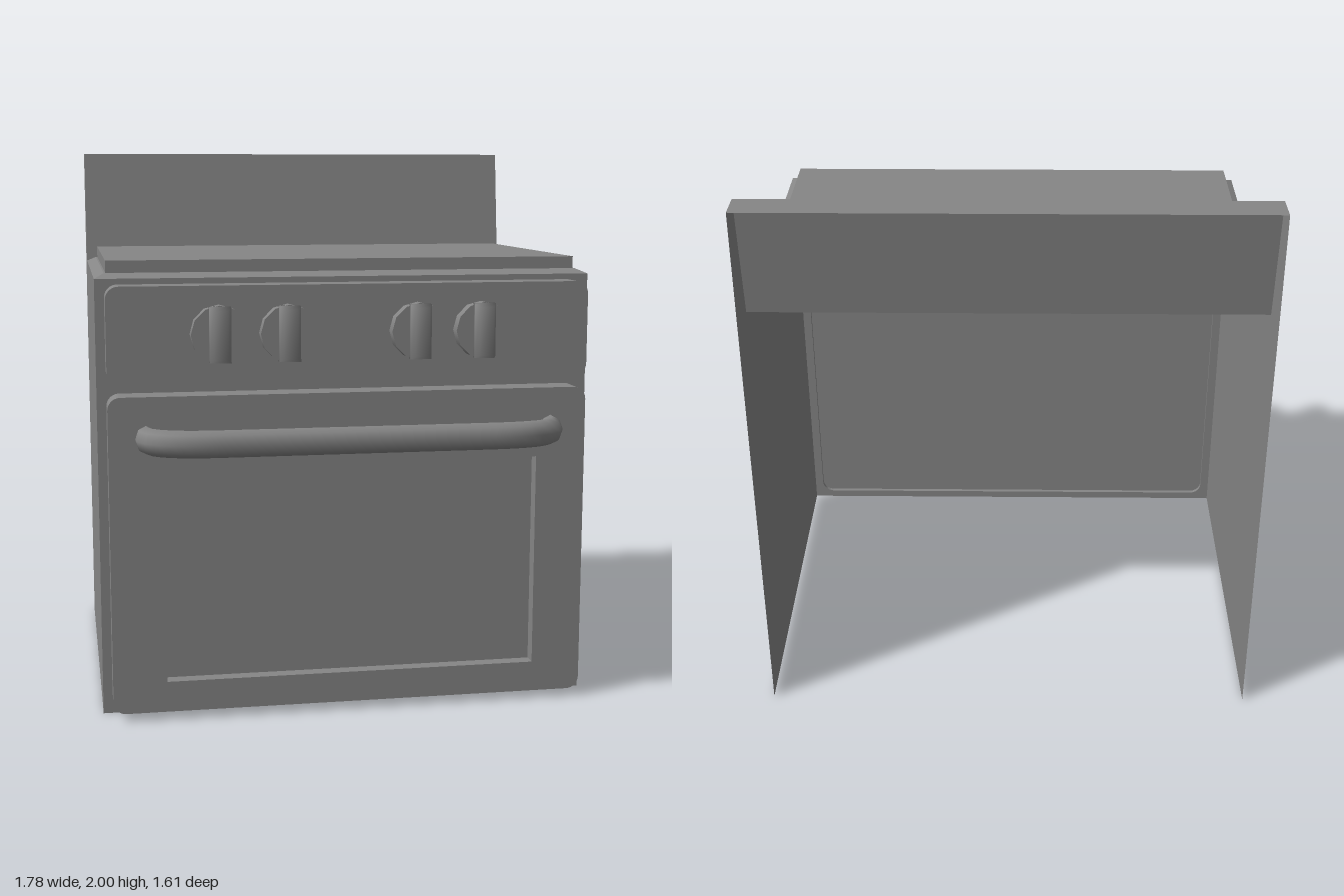
import * as THREE from 'three';
import { mergeVertices } from 'three/addons/utils/BufferGeometryUtils.js';

const HALF_W = 0.888, FRONT = 0.525, BACK = -0.81, DECK = 1.56, DOOR_FRONT = 0.63, DOOR_BACK = 0.54;

const solid = new THREE.MeshStandardMaterial({ color: 0x868686 });
const sheet = new THREE.MeshStandardMaterial({ color: 0x868686, side: THREE.DoubleSide });

function add(parent, name, geometry, material = solid) {
  const mesh = new THREE.Mesh(geometry, material);
  mesh.name = name;
  parent.add(mesh);
}

// Flat-shaded sheet from a list of four-cornered faces
function quadSheet(quads) {
  const pos = [];
  for (const [a, b, c, d] of quads) pos.push(...a, ...b, ...c, ...a, ...c, ...d);
  const g = new THREE.BufferGeometry();
  g.setAttribute('position', new THREE.Float32BufferAttribute(pos, 3));
  g.computeVertexNormals();
  return g;
}

// Rectangle with rounded corners, from (-w, y0) to (w, y1)
function roundedRect(w, y0, y1, r, Type = THREE.Shape) {
  const s = new Type();
  s.absarc(w - r, y0 + r, r, -Math.PI / 2, 0);
  s.absarc(w - r, y1 - r, r, 0, Math.PI / 2);
  s.absarc(-w + r, y1 - r, r, Math.PI / 2, Math.PI);
  s.absarc(-w + r, y0 + r, r, Math.PI, Math.PI * 1.5);
  s.closePath();
  return s;
}

// Slab whose back sits a little inside the opening of the front wall
function frontPanel(shape) {
  return new THREE.ExtrudeGeometry(shape, { depth: DOOR_FRONT - DOOR_BACK, bevelEnabled: false, curveSegments: 5 })
    .translate(0, 0, DOOR_BACK);
}

// Open body: two side walls, a front wall, a stepped cooktop and a backsplash
function buildBody() {
  const body = new THREE.Group();
  body.name = 'body';

  const profile = new THREE.Shape([
    [FRONT, 0], [FRONT, DECK], [-0.645, DECK], [-0.7, 2], [BACK, 2], [BACK, 0],
  ].map(([z, y]) => new THREE.Vector2(-z, y)));
  for (const side of [-1, 1]) {
    const wall = new THREE.ShapeGeometry(profile).rotateY(Math.PI / 2).translate(side * HALF_W, 0, 0);
    add(body, side > 0 ? 'leftWall' : 'rightWall', wall, sheet);
  }

  // Front wall, cut out behind the door and the control panel
  const front = new THREE.Shape([
    new THREE.Vector2(-HALF_W, 0), new THREE.Vector2(HALF_W, 0),
    new THREE.Vector2(HALF_W, DECK), new THREE.Vector2(-HALF_W, DECK),
  ]);
  const openings = [[0.03, 1.16], [1.2, 1.54]];
  for (const [y0, y1] of openings) front.holes.push(roundedRect(0.855, y0, y1, 0.045, THREE.Path));
  add(body, 'frontWall', new THREE.ShapeGeometry(front, 5).translate(0, 0, FRONT), sheet);

  // Thin lips joining the wall openings to the door and the control panel
  for (const [y0, y1] of openings) {
    const loop = roundedRect(0.855, y0, y1, 0.045).getPoints(5);
    add(body, 'openingLip', quadSheet(loop.map((p, i) => {
      const q = loop[(i + 1) % loop.length];
      return [[p.x, p.y, FRONT], [q.x, q.y, FRONT], [q.x, q.y, DOOR_BACK], [p.x, p.y, DOOR_BACK]];
    })), sheet);
  }

  // Cooktop: sloped rim, raised edge and flat plate, as rectangular rings
  const ring = (w, y, zf, zb) => [[-w, y, zf], [w, y, zf], [w, y, zb], [-w, y, zb]];
  const rings = [
    ring(HALF_W, DECK, FRONT, -0.625),
    ring(0.853, 1.577, 0.482, -0.588),
    ring(0.847, 1.577, 0.478, -0.583),
    ring(0.847, 1.62, 0.478, -0.583),
  ];
  const quads = [rings[3]];
  for (let i = 0; i < 3; i++) {
    for (let k = 0; k < 4; k++) {
      const n = (k + 1) % 4;
      quads.push([rings[i][k], rings[i][n], rings[i + 1][n], rings[i + 1][k]]);
    }
  }
  add(body, 'cooktop', quadSheet(quads), sheet);

  // Backsplash: leaning front and flat top, open behind
  const line = [[-0.625, DECK], [-0.645, DECK], [-0.7, 2], [BACK, 2]];
  add(body, 'backsplash', quadSheet(line.slice(1).map(([z, y], i) => {
    const [z0, y0] = line[i];
    return [[-HALF_W, y0, z0], [HALF_W, y0, z0], [HALF_W, y, z], [-HALF_W, y, z]];
  })), sheet);
  return body;
}

// Oven door with a recessed window and a bowed handle
function buildDoor() {
  const door = new THREE.Group();
  door.name = 'ovenDoor';
  const shape = roundedRect(0.855, 0.03, 1.16, 0.045);
  shape.holes.push(new THREE.Path([
    [-0.665, 0.14], [-0.665, 0.91], [0.675, 0.91], [0.675, 0.14],
  ].map(([x, y]) => new THREE.Vector2(x, y))));
  add(door, 'doorFrame', frontPanel(shape));
  add(door, 'window', new THREE.BoxGeometry(1.34, 0.77, 0.04).translate(0.005, 0.525, DOOR_BACK + 0.02));

  // Handle: straight bar with a rounded bend down to the door at each end
  const at = (x, z) => new THREE.Vector3(x, 0, z);
  const path = new THREE.CurvePath();
  path.add(new THREE.CubicBezierCurve3(at(0.725, 0.62), at(0.735, 0.73), at(0.62, 0.766), at(0.47, 0.766)));
  path.add(new THREE.LineCurve3(at(0.47, 0.766), at(-0.47, 0.766)));
  path.add(new THREE.CubicBezierCurve3(at(-0.47, 0.766), at(-0.62, 0.766), at(-0.735, 0.73), at(-0.725, 0.62)));
  const tube = new THREE.TubeGeometry(path, 40, 0.038, 8);
  add(door, 'handle', tube.scale(1, 1.25, 1).translate(0, 1.013, 0));
  return door;
}

// Control knob: faceted disc with a smooth tapered grip
function buildKnob(x) {
  const knob = new THREE.Group();
  knob.name = 'knob';
  add(knob, 'knobDisc', new THREE.CylinderGeometry(0.1, 0.1, 0.05, 12).rotateX(Math.PI / 2).translate(0, 0, 0.025));
  const box = new THREE.BoxGeometry(0.075, 0.192, 0.045, 1, 1, 2).translate(0, 0, 0.0625);
  box.deleteAttribute('normal');
  box.deleteAttribute('uv');
  const grip = mergeVertices(box);
  const p = grip.attributes.position;
  for (let i = 0; i < p.count; i++) {
    if (p.getZ(i) > 0.08) p.setXY(i, p.getX(i) * 0.65, p.getY(i) * 0.88);
  }
  grip.computeVertexNormals();
  add(knob, 'knobGrip', grip);
  knob.position.set(x, 1.375, DOOR_FRONT);
  return knob;
}

export function createModel() {
  const stove = new THREE.Group();
  stove.name = 'stove';
  stove.add(buildBody(), buildDoor());
  add(stove, 'controlPanel', frontPanel(roundedRect(0.855, 1.2, 1.54, 0.045)));
  for (const x of [-0.47, -0.23, 0.23, 0.46]) stove.add(buildKnob(x));
  return stove;
}
